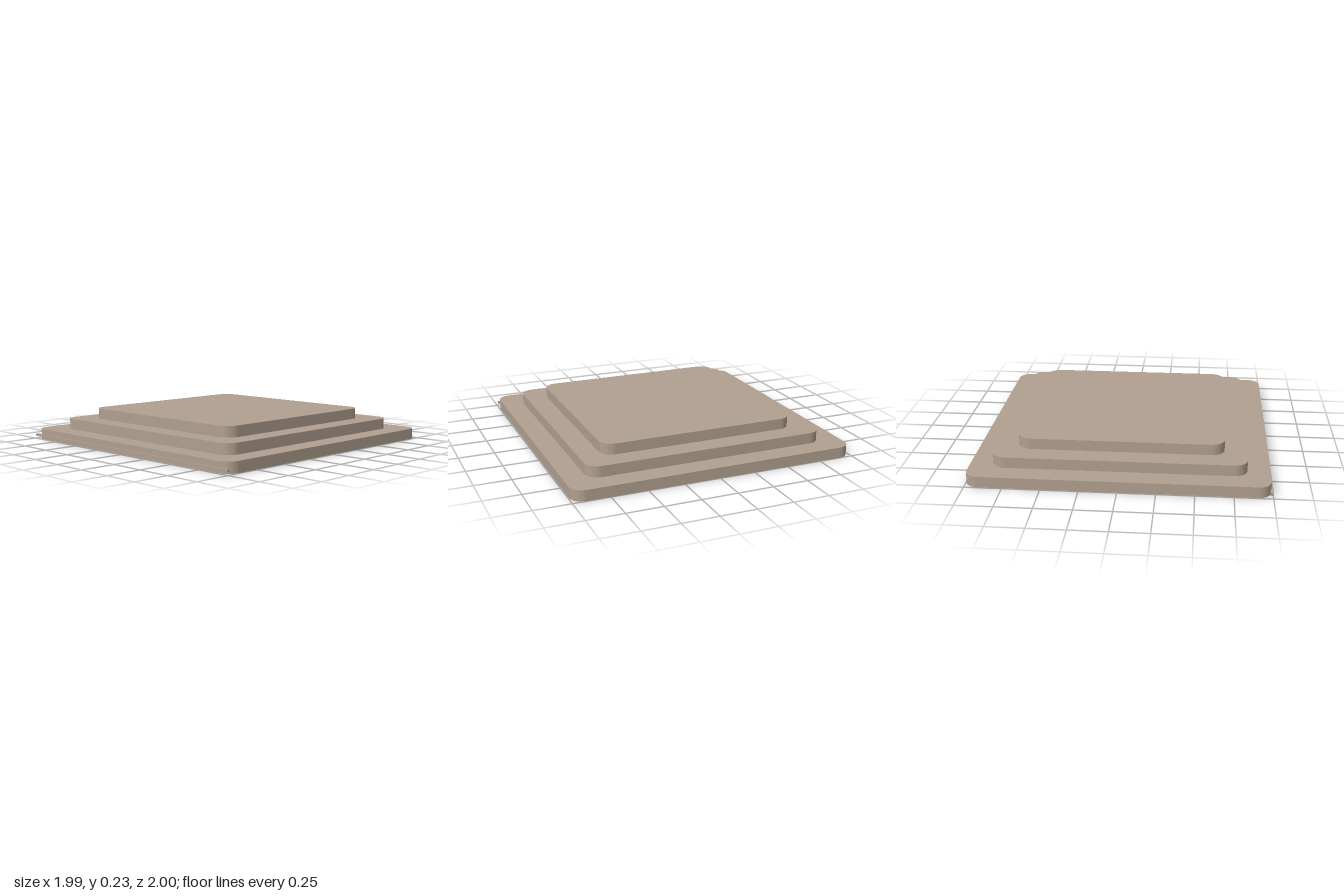
import * as THREE from 'three';

const stone = new THREE.MeshStandardMaterial({ color: 0xb0a090 });
stone.name = 'warm stone';

const STEP = 0.075;      // height of each tier
const CENTER_Z = -0.005; // the front strip shifts the tiers slightly back
const RADIUS = 0.09;

// Square outline with rounded corners
function roundedSquare(half, r) {
  const s = new THREE.Shape();
  const c = half - r;
  s.absarc(c, c, r, 0, Math.PI / 2);
  s.absarc(-c, c, r, Math.PI / 2, Math.PI);
  s.absarc(-c, -c, r, Math.PI, Math.PI * 1.5);
  s.absarc(c, -c, r, Math.PI * 1.5, Math.PI * 2);
  return s;
}

export function createModel() {
  const group = new THREE.Group();
  group.name = 'steppedPlinth';

  // Three stacked slabs, each smaller than the one below
  const tiers = [['bottomTier', 0.995], ['middleTier', 0.845], ['topTier', 0.695]];
  tiers.forEach(([name, half], i) => {
    const geo = new THREE.ExtrudeGeometry(roundedSquare(half, RADIUS), {
      depth: STEP, bevelEnabled: false, curveSegments: 4,
    });
    geo.rotateX(-Math.PI / 2);
    const tier = new THREE.Mesh(geo, stone);
    tier.name = name;
    tier.position.set(0, i * STEP, CENTER_Z);
    group.add(tier);
  });

  // Slim moulding along the front edge
  const strip = new THREE.Mesh(new THREE.BoxGeometry(1.99, 0.016, 0.02), stone);
  strip.name = 'frontStrip';
  strip.position.set(0, 0.027, 0.99);
  group.add(strip);

  return group;
}
